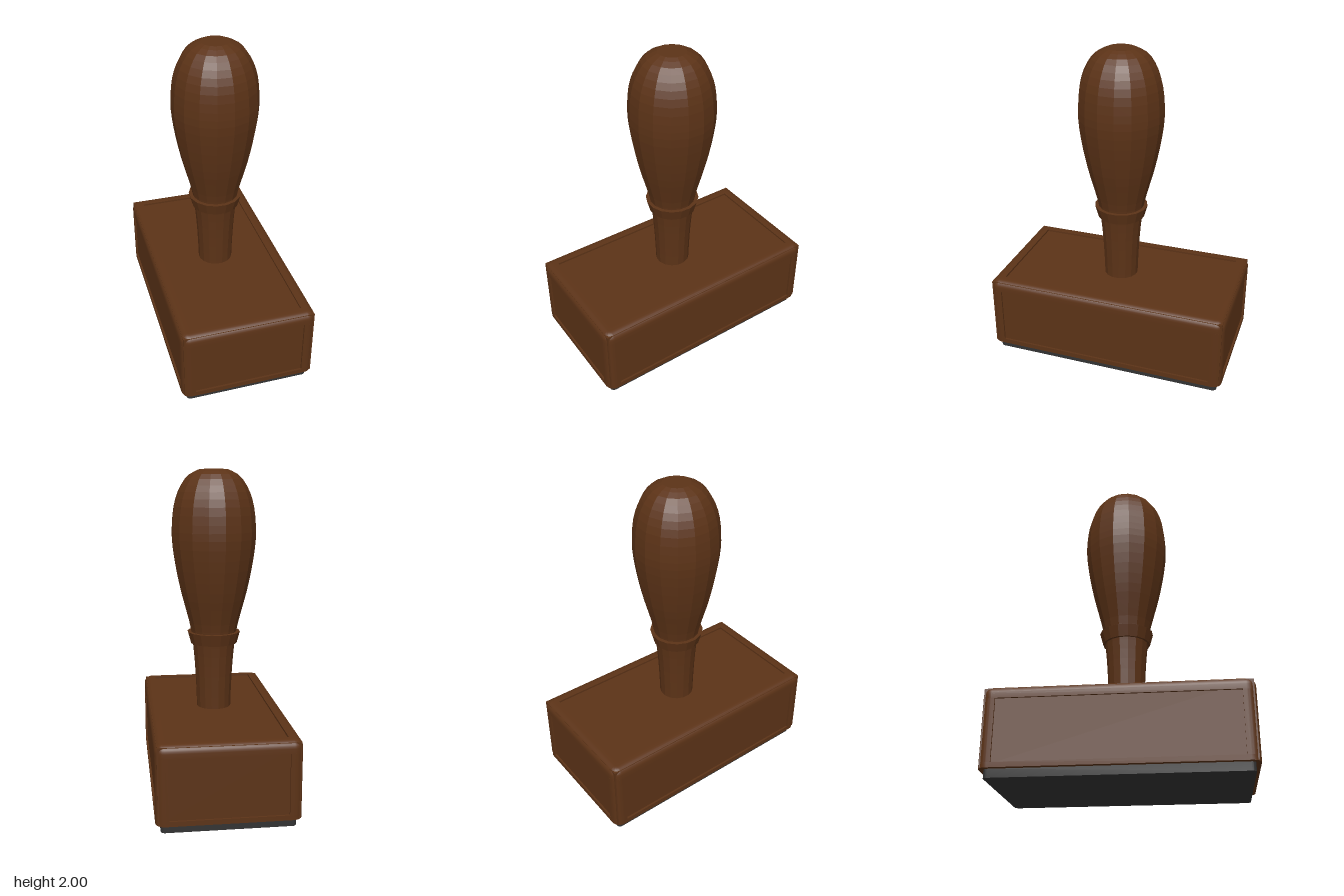
import * as THREE from 'three';
import { toCreasedNormals } from 'three/addons/utils/BufferGeometryUtils.js';

const HALF_L = 0.767, HALF_W = 0.418, CORNER = 0.055; // block footprint
const BOTTOM = 0.05, TOP = 0.52;                      // block height range
const RIM = 0.077, RECESS = 0.012;                    // frame width, panel depth
const RAIL_LOW = 0.08, RAIL_HIGH = 0.447;             // side panel height range

const wood = new THREE.MeshStandardMaterial({ color: 0x5c3317 });
const turnedWood = new THREE.MeshStandardMaterial({ color: 0x5c3317, flatShading: true });
const rubber = new THREE.MeshStandardMaterial({ color: 0x333333 });

function mesh(name, geometry, material) {
  const m = new THREE.Mesh(geometry, material);
  m.name = name;
  return m;
}

// One rounded rectangle at height y, shrunk by inset from the block outline.
function ring(inset, y) {
  const r = Math.max(CORNER - inset, 0);
  const cx = HALF_L - inset - r, cz = HALF_W - inset - r;
  const points = [];
  [[1, 1], [-1, 1], [-1, -1], [1, -1]].forEach(([sx, sz], k) => {
    for (let i = 0; i <= 6; i++) {
      const a = (k + i / 6) * Math.PI / 2;
      points.push(sx * cx + r * Math.cos(a), y, sz * cz + r * Math.sin(a));
    }
  });
  return points;
}

// Skins a profile of [inset, y] pairs around the rounded rectangle.
function loft(profile) {
  const positions = profile.flatMap(([inset, y]) => ring(inset, y));
  const n = 28, index = [];
  for (let i = 0; i < profile.length - 1; i++) {
    for (let j = 0; j < n; j++) {
      const a = i * n + j, b = i * n + (j + 1) % n;
      index.push(a, a + n, b + n, a, b + n, b);
    }
  }
  const g = new THREE.BufferGeometry();
  g.setAttribute('position', new THREE.Float32BufferAttribute(positions, 3));
  g.setIndex(index);
  return toCreasedNormals(g, 0.6);
}

// Upright corner post with a rounded outer edge.
function postGeometry() {
  const s = new THREE.Shape();
  s.moveTo(-RIM, -RIM);
  s.lineTo(0, -RIM);
  s.lineTo(0, -CORNER);
  s.absarc(-CORNER, -CORNER, CORNER, 0, Math.PI / 2, false);
  s.lineTo(-RIM, 0);
  s.closePath();
  const g = new THREE.ExtrudeGeometry(s, { depth: RAIL_HIGH - RAIL_LOW, bevelEnabled: false, curveSegments: 6 });
  g.rotateX(-Math.PI / 2);
  return toCreasedNormals(g, 0.6);
}

function buildBlock() {
  const block = new THREE.Group();
  block.name = 'block';

  // Recessed panels are the faces of one inner box
  const height = TOP - RECESS - BOTTOM;
  const core = mesh('panels', new THREE.BoxGeometry(2 * (HALF_L - RECESS), height - 0.004, 2 * (HALF_W - RECESS)), wood);
  core.position.y = BOTTOM + 0.002 + height / 2;
  block.add(core);

  // Top frame with a rounded upper edge
  const round = 0.045, topProfile = [[RIM, RAIL_HIGH], [0, RAIL_HIGH]];
  for (let i = 0; i <= 6; i++) {
    const a = i / 6 * Math.PI / 2;
    topProfile.push([round * (1 - Math.cos(a)), TOP - round + round * Math.sin(a)]);
  }
  topProfile.push([RIM, TOP], [RIM, RAIL_HIGH]);
  block.add(mesh('topFrame', loft(topProfile), wood));

  // Bottom frame, closed underneath
  block.add(mesh('bottomFrame', loft([[HALF_W, BOTTOM], [0, BOTTOM], [0, RAIL_LOW], [RIM, RAIL_LOW]]), wood));

  // Corner posts
  const post = postGeometry();
  [[1, -1, 0], [-1, -1, 1], [-1, 1, 2], [1, 1, 3]].forEach(([sx, sz, turn]) => {
    const p = mesh('cornerPost', post, wood);
    p.position.set(sx * HALF_L, RAIL_LOW, sz * HALF_W);
    p.rotation.y = turn * Math.PI / 2;
    block.add(p);
  });

  // Rubber pad under the block
  block.add(mesh('rubberPad', loft([[HALF_W, 0], [0.03, 0], [0.03, BOTTOM]]), rubber));
  block.rotation.y = -0.555;
  return block;
}

function buildHandle() {
  const handle = new THREE.Group();
  handle.name = 'handle';

  // Turned grip
  const curve = new THREE.SplineCurve([
    [0.108, 0.49], [0.111, 0.6], [0.119, 0.76], [0.131, 0.9], [0.148, 1.02], [0.176, 1.13],
    [0.208, 1.25], [0.239, 1.4], [0.26, 1.55], [0.261, 1.66], [0.248, 1.78],
    [0.215, 1.88], [0.16, 1.96], [0.085, 2.0],
  ].map(([r, y]) => new THREE.Vector2(r, y)));
  const profile = [...curve.getPoints(30), new THREE.Vector2(0, 2)];
  profile.forEach(p => { p.y = Math.min(p.y, 2); });
  handle.add(mesh('grip', new THREE.LatheGeometry(profile, 16), turnedWood));

  // Flared collar
  const collar = [[0.12, 0.922], [0.147, 0.922], [0.167, 0.995], [0.13, 0.995]]
    .map(([r, y]) => new THREE.Vector2(r, y));
  handle.add(mesh('collar', new THREE.LatheGeometry(collar, 16), turnedWood));

  handle.position.set(0.009, 0, 0.008);
  return handle;
}

export function createModel() {
  const model = new THREE.Group();
  model.name = 'handStamp';
  model.add(buildBlock(), buildHandle());
  return model;
}
